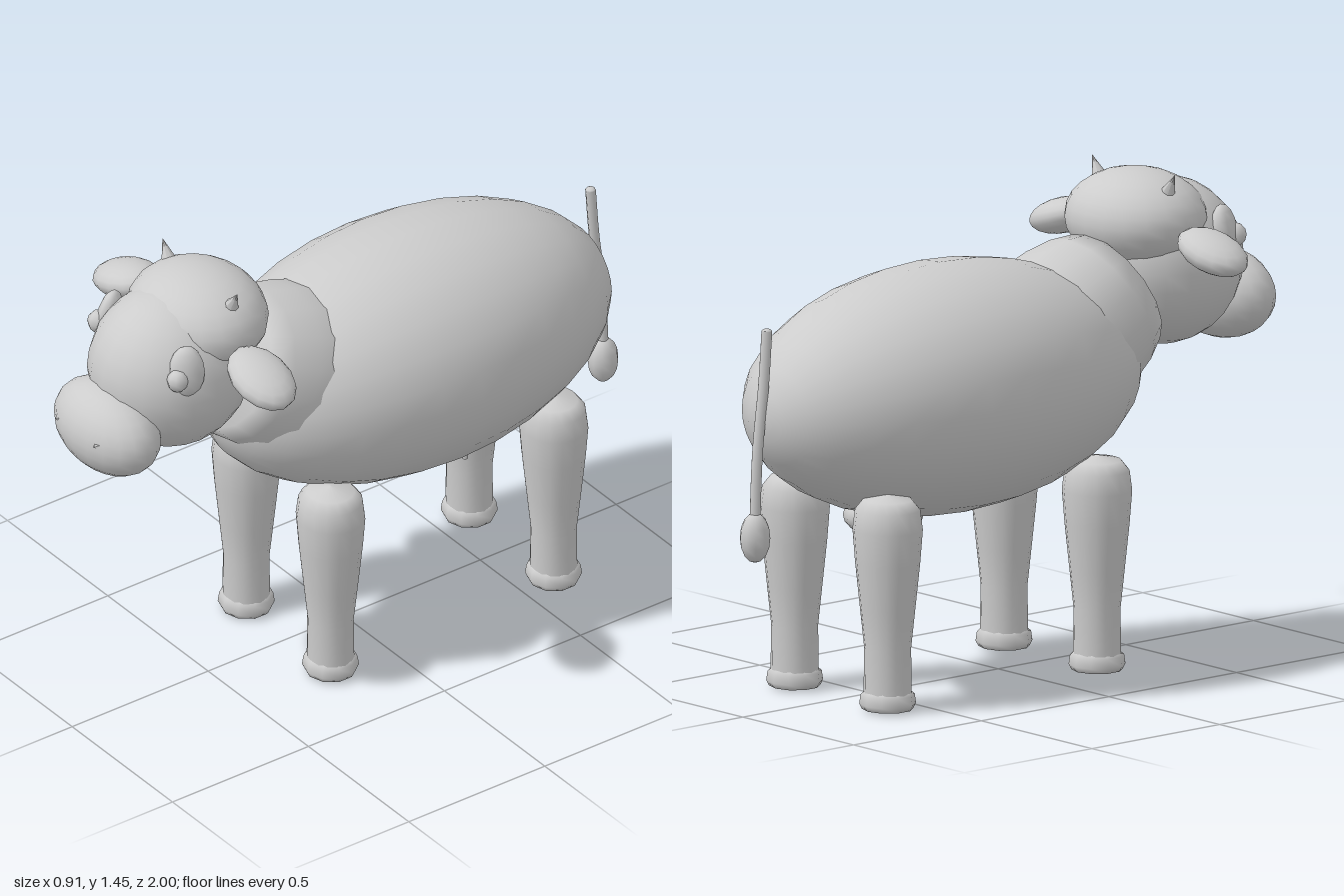
import * as THREE from 'three';

export function createModel() {
  const cow = new THREE.Group();
  cow.name = 'cow';
  const clay = new THREE.MeshStandardMaterial({ color: 0xcccccc });
  clay.name = 'light grey';

  const add = (name, geometry, position, rotation = [0, 0, 0], scale = [1, 1, 1]) => {
    const mesh = new THREE.Mesh(geometry, clay);
    mesh.name = name;
    mesh.position.set(...position);
    mesh.rotation.set(...rotation);
    mesh.scale.set(...scale);
    cow.add(mesh);
    return mesh;
  };
  const ball = (name, position, radii, rotation, w = 20, h = 14) =>
    add(name, new THREE.SphereGeometry(1, w, h), position, rotation, radii);
  const lathe = (points, sides = 16) =>
    new THREE.LatheGeometry(points.map(([r, y]) => new THREE.Vector2(r, y)), sides);

  // Body, lying along z
  const bodyGeometry = new THREE.SphereGeometry(1, 24, 16).rotateX(Math.PI / 2);
  add('body', bodyGeometry, [0, 0.89, -0.22], [0, 0, 0], [0.4, 0.377, 0.705]);

  // Neck, narrowing towards the head
  const neck = lathe([[0, -0.15], [0.26, -0.15], [0.262, -0.07], [0.255, 0], [0.235, 0.09], [0.205, 0.16], [0, 0.22]]);
  add('neck', neck, [0, 1.01, 0.3], [1.1, 0, 0]);

  // Head: face, crown and broad muzzle
  ball('face', [0, 1.15, 0.64], [0.235, 0.252, 0.252]);
  ball('crown', [0, 1.295, 0.54], [0.228, 0.147, 0.203]);
  ball('muzzle', [0, 1.02, 0.87], [0.203, 0.138, 0.13]);

  for (const side of [1, -1]) {
    const prefix = side > 0 ? 'left' : 'right';
    ball(prefix + 'Ear', [side * 0.335, 1.24, 0.55], [0.127, 0.054, 0.092], [0, 0, -side * 0.3], 14, 10);
    add(prefix + 'Horn', new THREE.ConeGeometry(0.035, 0.1, 8), [side * 0.163, 1.407, 0.53], [0, 0, -side * 0.5]);

    // Eyelid and eyeball
    ball(prefix + 'Eyelid', [side * 0.192, 1.255, 0.72], [0.034, 0.082, 0.055], [0, -side * 0.45, side * 0.15], 10, 8);
    ball(prefix + 'Eye', [side * 0.198, 1.24, 0.758], [0.033, 0.036, 0.033], [0, 0, 0], 8, 6);

    // Nostril: shallow three-sided peak
    add(prefix + 'Nostril', new THREE.ConeGeometry(0.026, 0.03, 3), [side * 0.095, 1.04, 0.977], [Math.PI / 2, 0, 0]);

    // Legs and hooves
    const leg = lathe([[0.074, 0.04], [0.072, 0.19], [0.085, 0.31], [0.1, 0.45], [0.108, 0.55],
      [0.1, 0.61], [0.075, 0.64], [0, 0.655]]);
    const hoof = lathe([[0, 0], [0.078, 0.006], [0.086, 0.022], [0.082, 0.05], [0.07, 0.06]], 10);
    for (const [place, z] of [['Front', 0.205], ['Rear', -0.615]]) {
      add(prefix + place + 'Leg', leg, [side * 0.21, 0, z], [0, 0, 0], [1, 1, 0.94]);
      add(prefix + place + 'Hoof', hoof, [side * 0.21, 0, z], [0, 0, 0], [1, 1, 0.97]);
    }

    // Teat
    add(prefix + 'Teat', new THREE.CylinderGeometry(0.011, 0.009, 0.08, 8), [side * 0.073, 0.485, -0.39]);
  }

  // Udder
  ball('udder', [0, 0.535, -0.45], [0.12, 0.068, 0.12], [0, 0, 0], 14, 10);

  // Tail with a tuft at its end
  const tailPath = new THREE.CatmullRomCurve3([
    [0, 1.157, -0.906], [0, 1.0, -0.918], [0, 0.8, -0.942], [0, 0.58, -0.953],
  ].map((p) => new THREE.Vector3(...p)));
  add('tail', new THREE.TubeGeometry(tailPath, 10, 0.016, 8), [0, 0, 0]);
  ball('tailTip', [0, 1.155, -0.906], [0.016, 0.009, 0.016], [0, 0, 0], 8, 6);
  ball('tailTuft', [0, 0.537, -0.952], [0.045, 0.076, 0.048], [0, 0, 0], 10, 8);

  return cow;
}
